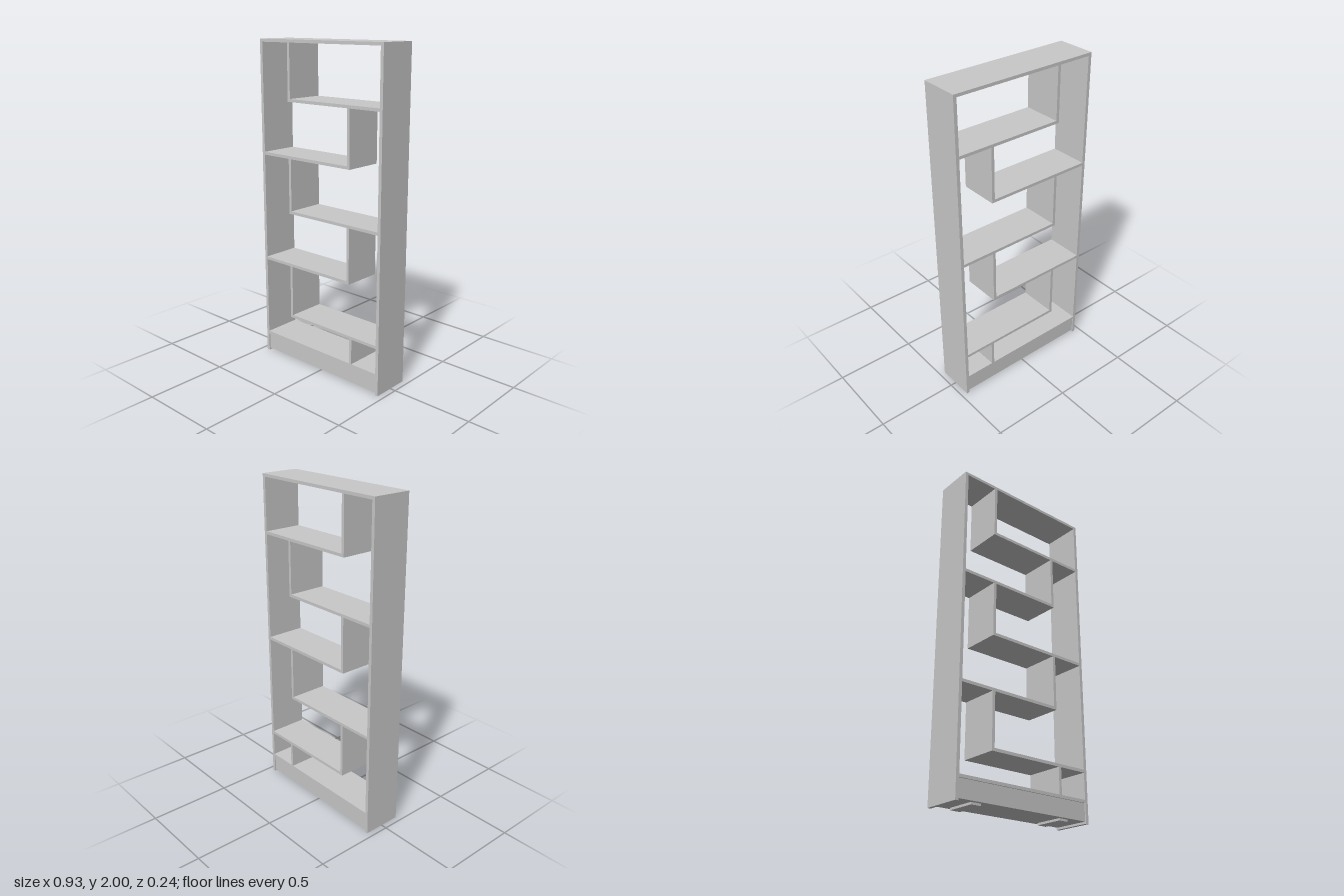
import * as THREE from 'three';

export function createModel() {
  const group = new THREE.Group();
  const board = new THREE.MeshStandardMaterial({ color: 0xc8c8c8 });
  board.name = 'light grey board';

  const W = 0.464, D = 0.121, T = 0.018, INNER = 0.444;

  // Box given by its x, y and half-depth extents
  function panel(name, x0, x1, y0, y1, d = D) {
    const mesh = new THREE.Mesh(new THREE.BoxGeometry(x1 - x0, y1 - y0, 2 * d), board);
    mesh.position.set((x0 + x1) / 2, (y0 + y1) / 2, 0);
    mesh.name = name;
    group.add(mesh);
  }

  // Outer frame
  panel('leftSide', INNER, W, 0, 2);
  panel('rightSide', -W, -INNER, 0, 2);
  panel('topBoard', -INNER, INNER, 2 - T, 2);
  panel('bottomShelf', -INNER, INNER, 0.117, 0.135);

  // Zigzag of shelves, each hung from the one above by an upright
  const pitch = 0.338, edge = 0.238;
  let ceiling = 2 - T;
  for (let i = 0; i < 5; i++) {
    const y = 1.645 - i * pitch;
    const onLeft = i % 2 === 0;
    if (onLeft) {
      panel('shelf' + (i + 1), -edge, INNER, y, y + T);
      panel('upright' + (i + 1), -edge, -edge + T, y + T, ceiling);
    } else {
      panel('shelf' + (i + 1), -INNER, edge, y, y + T);
      panel('upright' + (i + 1), edge - T, edge, y + T, ceiling);
    }
    ceiling = y;
  }

  // Small divider under the lowest shelf
  panel('lowerDivider', 0.244, 0.262, 0.135, ceiling);

  // Plinth, slightly set back, on two runners
  panel('plinth', -INNER, INNER, 0.013, 0.117, 0.114);
  panel('rightRunner', -0.344, -0.281, 0, 0.013, 0.09);
  panel('leftRunner', 0.266, 0.329, 0, 0.013, 0.09);

  return group;
}
